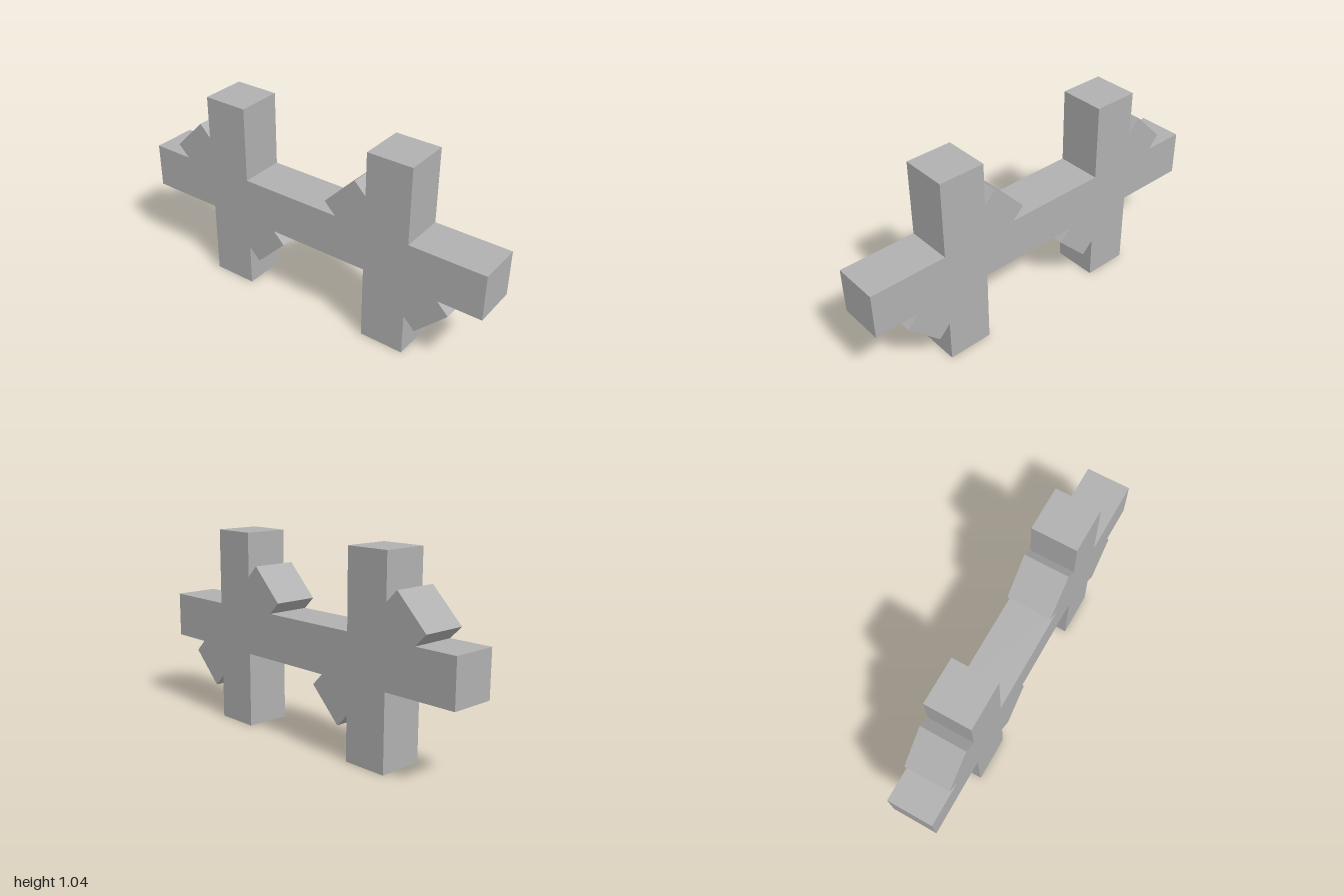
import * as THREE from 'three';

const HALF = 0.12;        // half thickness of every bar
const MID = 0.518;        // height of the beam's centre line
const HUBS = [-0.484, 0.48]; // x of the two crossings

// Upper outline of one crossing about its centre: brace end, then post.
// The lower outline is the same turned by half a turn.
const s = Math.SQRT1_2, reach = 0.377;
const tip = (side) => [s * (-reach + side * HALF), s * (reach + side * HALF)];
const notch = 2 * HALF * s + HALF;
const upper = [
  [-notch, HALF], tip(-1), tip(1), [-HALF, notch],
  [-HALF, MID], [HALF, MID], [HALF, HALF],
];

export function createModel() {
  const group = new THREE.Group();
  const grey = new THREE.MeshStandardMaterial({ color: 0xb0b0b0 });
  grey.name = 'grey';

  // Outline of beam, posts and braces, clockwise from the beam's lower right end
  const points = [];
  const add = (x, y) => points.push(new THREE.Vector2(x, MID + y));
  add(-1, -HALF);
  add(-1, HALF);
  for (const hub of HUBS) upper.forEach(([x, y]) => add(hub + x, y));
  add(1, HALF);
  add(1, -HALF);
  for (const hub of [...HUBS].reverse()) upper.forEach(([x, y]) => add(hub - x, -y));

  const geometry = new THREE.ExtrudeGeometry(new THREE.Shape(points), {
    depth: 2 * HALF, bevelEnabled: false,
  });
  geometry.translate(0, 0, -HALF);
  const frame = new THREE.Mesh(geometry, grey);
  frame.name = 'crossedBeamFrame';
  group.add(frame);
  return group;
}
